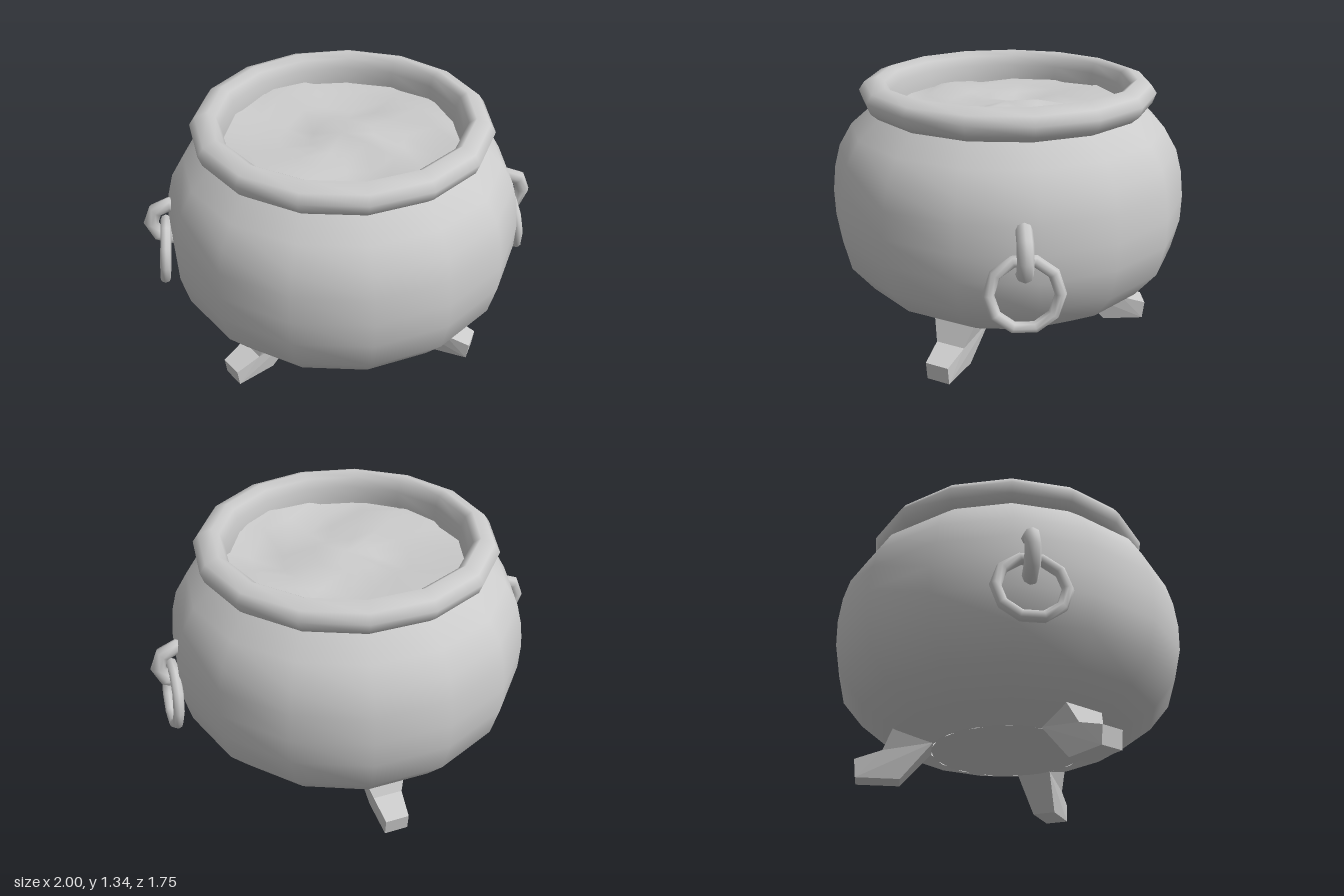
import * as THREE from 'three';
import { mergeVertices } from 'three/addons/utils/BufferGeometryUtils.js';

const SIDES = 15;
const smooth = new THREE.MeshStandardMaterial({ color: 0xcccccc });
const twoSided = new THREE.MeshStandardMaterial({ color: 0xcccccc, side: THREE.DoubleSide });
const faceted = new THREE.MeshStandardMaterial({ color: 0xcccccc, flatShading: true });

function part(name, geometry, material = smooth) {
  const mesh = new THREE.Mesh(geometry, material);
  mesh.name = name;
  return mesh;
}

const lathe = (pairs) =>
  new THREE.LatheGeometry(pairs.map(([r, y]) => new THREE.Vector2(r, y)), SIDES);

// Lumpy filling: a ringed disc pushed up and down by a wave rule
function fillingGeometry() {
  const g = new THREE.RingGeometry(0, 0.62, SIDES, 4).rotateX(-Math.PI / 2);
  g.deleteAttribute('uv');
  g.deleteAttribute('normal');
  const p = g.attributes.position;
  for (let i = 0; i < p.count; i++) {
    const x = p.getX(i), z = p.getZ(i);
    const wave = Math.sin(9 * x + 2 * z + 1) * Math.cos(8 * z - 3 * x) + 0.6 * Math.sin(17 * x - 13 * z);
    p.setY(i, 1.18 + 0.028 * wave);
  }
  const merged = mergeVertices(g, 1e-4);
  merged.computeVertexNormals();
  return merged;
}

// Foot: side profile along +x, narrowing from the ankle to the toe
function footGeometry() {
  const outline = [[0.37, 0.18], [0.52, 0], [0.73, 0], [0.74, 0.09], [0.61, 0.135], [0.565, 0.24], [0.42, 0.25]];
  const shape = new THREE.Shape(outline.map(([x, y]) => new THREE.Vector2(x, y)));
  const g = new THREE.ExtrudeGeometry(shape, { depth: 2, bevelEnabled: false });
  const p = g.attributes.position;
  for (let i = 0; i < p.count; i++) {
    const half = 0.06 + 0.33 * Math.max(0, p.getY(i) - 0.09);
    p.setZ(i, (p.getZ(i) - 1) * half);
  }
  g.computeVertexNormals();
  return g;
}

// Handle on the +x side: a fixed lug with a loose ring hanging through it
function makeHandle(name) {
  const handle = new THREE.Group();
  handle.name = name;
  const lug = part('lug', new THREE.TorusGeometry(0.1, 0.037, 8, 8));
  lug.position.set(0.865, 0.765, 0);
  const ring = part('hangingRing', new THREE.TorusGeometry(0.155, 0.027, 8, 10).rotateY(Math.PI / 2));
  ring.position.set(0.913, 0.593, 0);
  ring.rotation.z = 0.12;
  handle.add(lug, ring);
  handle.position.z = -0.02;
  return handle;
}

export function createModel() {
  const model = new THREE.Group();
  model.name = 'cauldron';

  // Rounded pot with a flat base
  model.add(part('body', lathe([
    [0.38, 0.175], [0.57, 0.23], [0.74, 0.335], [0.845, 0.465], [0.882, 0.62],
    [0.885, 0.75], [0.87, 0.88], [0.84, 0.99], [0.775, 1.1], [0.67, 1.19], [0.64, 1.23],
  ]), twoSided));
  const base = part('base', new THREE.CircleGeometry(0.38, SIDES).rotateZ(-Math.PI / 2).rotateX(Math.PI / 2));
  base.position.y = 0.175;
  model.add(base);

  // Rolled rim and the inner wall below it
  model.add(part('rim', lathe([
    [0.62, 1.19], [0.675, 1.19], [0.71, 1.22], [0.728, 1.27], [0.7, 1.31], [0.635, 1.335],
    [0.6, 1.31], [0.582, 1.26], [0.575, 1.19], [0.575, 1.08],
  ]), twoSided));

  model.add(part('filling', fillingGeometry(), twoSided));

  // Three feet: two in front, one behind
  const footShape = footGeometry();
  [['leftFoot', -30], ['backFoot', 90], ['rightFoot', 210]].forEach(([name, degrees]) => {
    const foot = part(name, footShape, faceted);
    foot.rotation.y = THREE.MathUtils.degToRad(degrees);
    model.add(foot);
  });

  // Handles on both sides
  const rightHandle = makeHandle('rightHandle');
  rightHandle.rotation.y = Math.PI;
  model.add(makeHandle('leftHandle'), rightHandle);

  return model;
}
